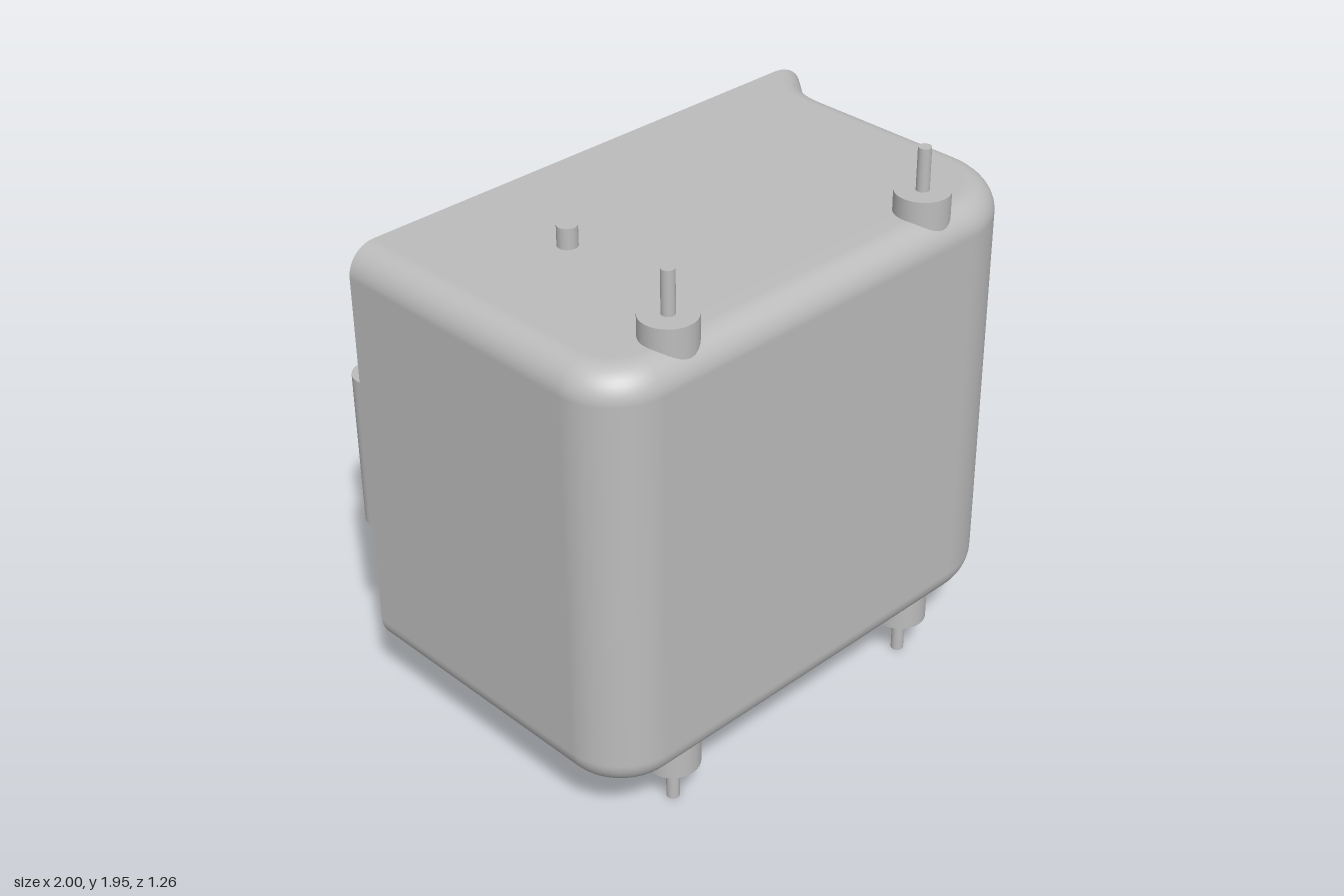
import * as THREE from 'three';

const BACK = -0.54, MID = 0.975;

// Plan outline of the shell inset by d: left wall, front, right wall, optional flare.
function outline(o, d) {
  const pts = [];
  const add = (x, z, nx, nz) => pts.push(new THREE.Vector2(x - d * nx, z - d * nz));
  const arc = (cx, cz, r, from, to) => {
    for (let i = 0; i <= 14; i++) {
      const a = from + (to - from) * i / 14, c = Math.cos(a), s = Math.sin(a);
      add(cx + r * c, cz + r * s, c, s);
    }
  };
  add(o.left, BACK, -1, 0);
  arc(o.left + o.rl, o.front - o.rl, o.rl, Math.PI, Math.PI / 2);
  arc(o.right - o.rr, o.front - o.rr, o.rr, Math.PI / 2, 0);
  if (o.flare) {
    const R = 0.25, end = 40 * Math.PI / 180;
    for (let i = 0; i <= 10; i++) {
      const t = end * i / 10, c = Math.cos(t), s = Math.sin(t);
      add(o.right + R - R * c, -0.287 - R * s, c, s);
    }
    const p = pts[pts.length - 1];
    pts.push(new THREE.Vector2(p.x + (p.y - BACK) * Math.tan(end), BACK));
  } else add(o.right, BACK, 1, 0);
  return pts;
}

// Stack of outlines with rounded top and bottom edges, open at the back.
function buildShell(o, inward) {
  const half = [], steps = 10;
  for (let k = 0; k <= steps; k++) {
    const a = k / steps * Math.PI / 2;
    half.push({ y: o.bottom + o.r * (1 - Math.cos(a)), d: o.r * (1 - Math.sin(a)) });
  }
  const levels = [...half, ...half.map(l => ({ y: 2 * MID - l.y, d: l.d })).reverse()];
  const rings = levels.map(l => outline(o, l.d));
  const n = rings[0].length, pos = [], idx = [];
  const tri = (a, b, c) => inward ? idx.push(a, c, b) : idx.push(a, b, c);
  rings.forEach((ring, j) => ring.forEach(p => pos.push(p.x, levels[j].y, p.y)));
  for (let j = 0; j < rings.length - 1; j++) {
    for (let i = 0; i < n - 1; i++) {
      const a = j * n + i;
      tri(a, a + 1, a + 1 + n);
      tri(a, a + 1 + n, a + n);
    }
  }
  // flat bottom and top
  const ring = rings[0], last = (rings.length - 1) * n;
  for (const [a, b, c] of THREE.ShapeUtils.triangulateShape(ring.slice(), [])) {
    const down = ring[b].clone().sub(ring[a]).cross(ring[c].clone().sub(ring[a])) > 0;
    const [p, q] = down ? [b, c] : [c, b];
    tri(a, p, q);
    tri(last + a, last + q, last + p);
  }
  const geo = new THREE.BufferGeometry();
  geo.setAttribute('position', new THREE.Float32BufferAttribute(pos, 3));
  geo.setIndex(idx);
  geo.computeVertexNormals();
  // edge loop at the open back, x mirrored for a rear-facing shape
  const edge = [
    ...rings.map((r, j) => new THREE.Vector2(-r[0].x, levels[j].y)),
    ...rings.map((r, j) => new THREE.Vector2(-r[n - 1].x, levels[j].y)).reverse(),
  ];
  return { geo, edge };
}

export function createModel() {
  const model = new THREE.Group();
  const grey = new THREE.MeshStandardMaterial({ color: 0xbcbcbc });
  grey.name = 'grey';
  const mesh = (name, geo) => {
    const m = new THREE.Mesh(geo, grey);
    m.name = name;
    model.add(m);
    return m;
  };
  const post = (name, r, x, z, y0, y1) =>
    mesh(name, new THREE.CylinderGeometry(r, r, y1 - y0, 32)).position.set(x, (y0 + y1) / 2, z);

  // housing: outer skin, cavity and the rim joining them
  const outer = buildShell({ left: -1, right: 0.865, front: 0.63, rl: 0.21, rr: 0.31, r: 0.1, bottom: 0.22, flare: true }, false);
  const inner = buildShell({ left: -0.96, right: 0.825, front: 0.59, rl: 0.17, rr: 0.27, r: 0.08, bottom: 0.26 }, true);
  mesh('housing', outer.geo);
  mesh('cavity', inner.geo);
  const rimShape = new THREE.Shape(outer.edge);
  rimShape.holes.push(new THREE.Path(inner.edge));
  const rim = mesh('rim', new THREE.ShapeGeometry(rimShape));
  rim.rotation.y = Math.PI;
  rim.position.z = BACK;

  // bosses with pins, above and below
  for (const x of [-0.66, 0.437]) {
    post('topBoss', 0.092, x, 0.515, 1.69, 1.802);
    post('topPin', 0.022, x, 0.515, 1.79, 1.95);
    post('bottomBoss', 0.092, x, 0.515, 0.148, 0.26);
    post('bottomPin', 0.022, x, 0.515, 0, 0.16);
  }
  post('stopPin', 0.034, -0.505, -0.09, 1.71, 1.802);

  // hinge lug on the left rear edge, drawn in plan (shape y is -z)
  const lug = new THREE.Shape();
  lug.moveTo(-0.97, 0.42);
  lug.lineTo(-0.84, 0.51);
  lug.lineTo(-0.84, 0.555);
  lug.absarc(-0.92, 0.555, 0.08, 0, Math.PI, false);
  lug.lineTo(-1, 0.54);
  lug.lineTo(-0.97, 0.54);
  const bore = new THREE.Path();
  bore.absarc(-0.92, 0.585, 0.031, 0, Math.PI * 2, true);
  lug.holes.push(bore);
  const hinge = mesh('hingeLug', new THREE.ExtrudeGeometry(lug, { depth: 0.555, bevelEnabled: false, curveSegments: 24 }));
  hinge.rotation.x = -Math.PI / 2;
  hinge.position.y = 0.698;

  return model;
}
